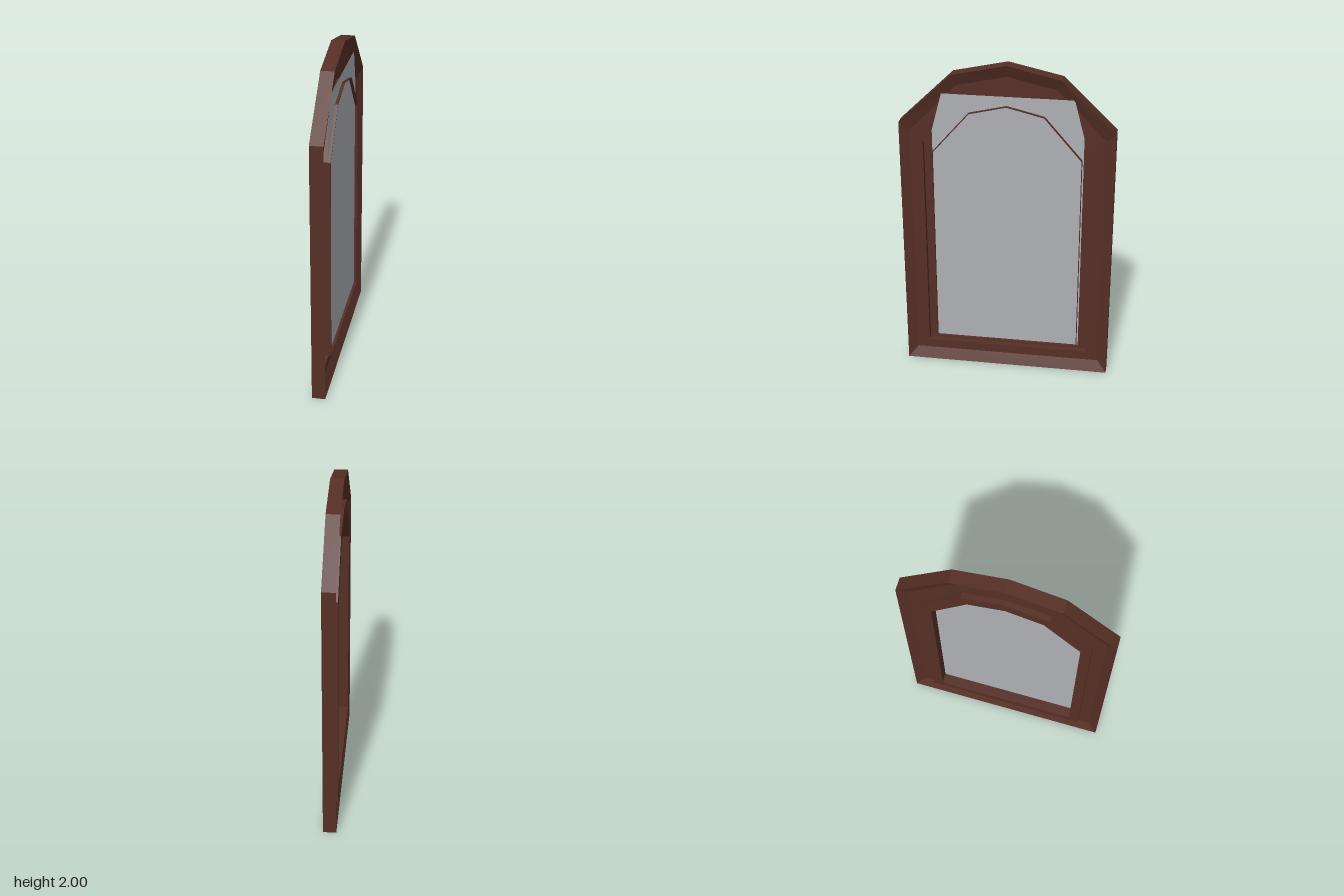
import * as THREE from 'three';

const wood = new THREE.MeshStandardMaterial({ color: 0x562f26 });
wood.name = 'dark wood';
const glass = new THREE.MeshStandardMaterial({ color: 0xadafb4, side: THREE.DoubleSide });
glass.name = 'grey glass';

// Pointed-arch outline in the z-y plane
function archLoop(halfWidth, bottom, spring, midZ, midY, apex) {
  return [
    [-halfWidth, bottom], [halfWidth, bottom], [halfWidth, spring],
    [midZ, midY], [0, apex], [-midZ, midY], [-halfWidth, spring],
  ];
}

// Nested outlines, from the outer edge to the inside of the opening
const loops = [
  archLoop(0.633, 0, 1.623, 0.317, 1.93, 2),
  archLoop(0.575, 0.067, 1.567, 0.29, 1.86, 1.925),
  archLoop(0.5, 0.123, 1.493, 0.25, 1.77, 1.823),
  archLoop(0.442, 0.178, 1.445, 0.22, 1.702, 1.755),
  archLoop(0.438, 0.182, 1.442, 0.218, 1.698, 1.751),
];

// Moulding section as [outline index, x], swept round the arch
const section = [
  [0, -0.04], [0, 0.04], [1, 0.008], [2, 0.008], [2, -0.03], [3, -0.03],
  [3, 0.04], [4, 0.04], [4, -0.04], [2, -0.04], [2, -0.008], [1, -0.008],
];

function sweepSection() {
  const positions = [];
  const point = (i, j) => {
    const [ring, x] = section[j % section.length];
    const [z, y] = loops[ring][i % loops[ring].length];
    return [x, y, z];
  };
  for (let i = 0; i < loops[0].length; i++) {
    for (let j = 0; j < section.length; j++) {
      const a = point(i, j), b = point(i, j + 1);
      const c = point(i + 1, j + 1), d = point(i + 1, j);
      positions.push(...a, ...b, ...c, ...a, ...c, ...d);
    }
  }
  const geometry = new THREE.BufferGeometry();
  geometry.setAttribute('position', new THREE.Float32BufferAttribute(positions, 3));
  geometry.computeVertexNormals();
  return geometry;
}

export function createModel() {
  const group = new THREE.Group();
  group.name = 'archedWindow';

  // Moulded frame with raised lip round the opening
  const frame = new THREE.Mesh(sweepSection(), wood);
  frame.name = 'frame';
  group.add(frame);

  // Single pane with clipped upper corners
  const outline = [[0.44, 0.18], [0.44, 1.58], [0.38, 1.81], [-0.39, 1.81], [-0.45, 1.58], [-0.45, 0.18]];
  const shape = new THREE.Shape(outline.map(([z, y]) => new THREE.Vector2(z, y)));
  const pane = new THREE.Mesh(new THREE.ShapeGeometry(shape).rotateY(-Math.PI / 2), glass);
  pane.name = 'pane';
  pane.position.x = 0.023;
  group.add(pane);

  return group;
}
